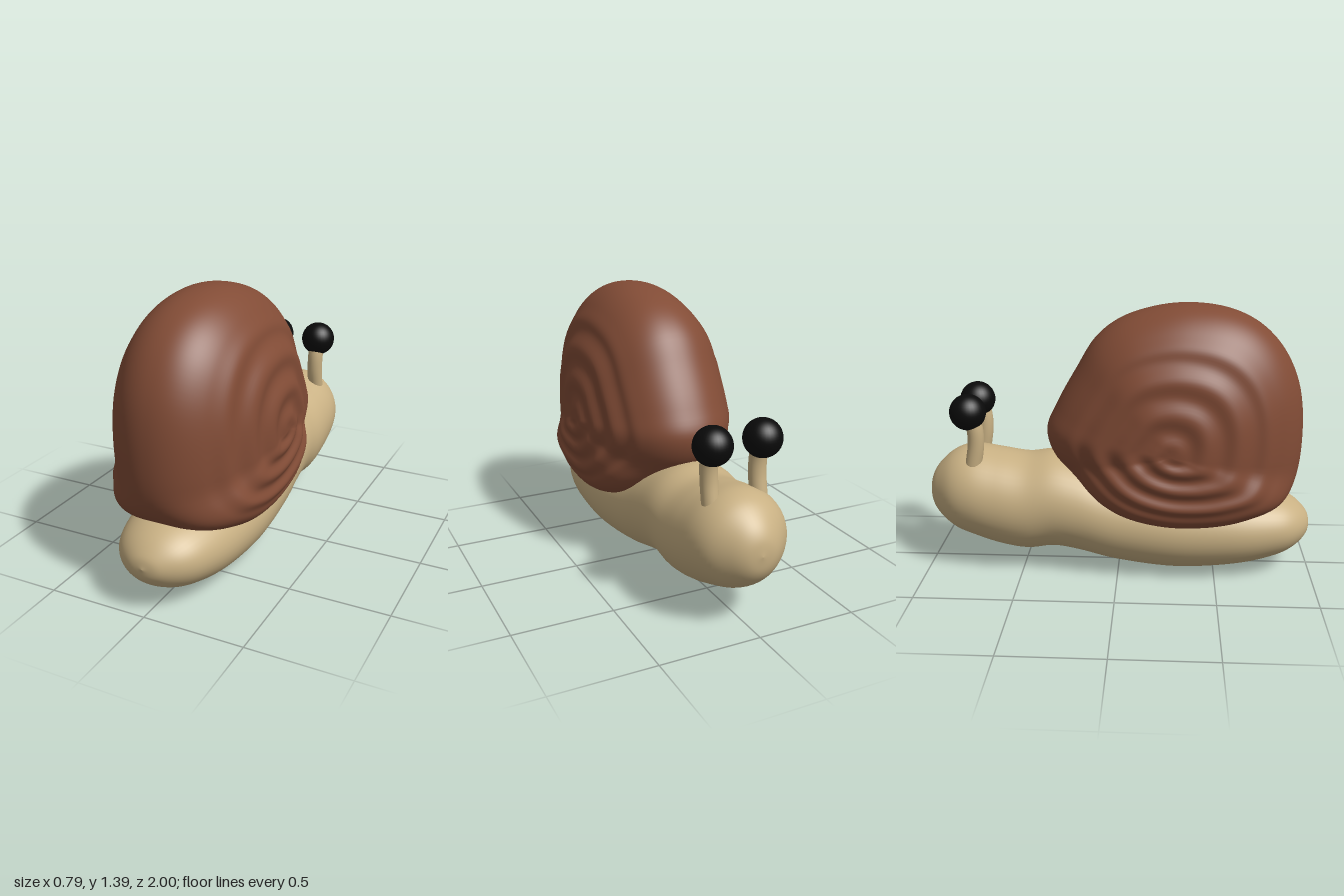
import * as THREE from 'three';

const { smoothstep } = THREE.MathUtils;

// Smooth surface from a rule: rows run along the form, columns wrap around it.
function wrapSurface(rows, cols, rule) {
  const pos = [], idx = [];
  for (let i = 0; i <= rows; i++) {
    for (let j = 0; j < cols; j++) pos.push(...rule(i / rows, j / cols));
  }
  for (let i = 0; i < rows; i++) {
    for (let j = 0; j < cols; j++) {
      const k = (j + 1) % cols;
      const a = i * cols + j, b = i * cols + k, c = a + cols, d = b + cols;
      if (i > 0) idx.push(a, b, c);
      if (i < rows - 1) idx.push(b, d, c);
    }
  }
  const geo = new THREE.BufferGeometry();
  geo.setAttribute('position', new THREE.Float32BufferAttribute(pos, 3));
  geo.setIndex(idx);
  geo.computeVertexNormals();
  return geo;
}

function bodyGeometry() {
  // z, top, bottom, half width; head at -z
  const stations = [
    [-1, 0.4, 0.4, 0], [-0.985, 0.48, 0.315, 0.075], [-0.94, 0.55, 0.25, 0.14],
    [-0.86, 0.615, 0.19, 0.212], [-0.76, 0.64, 0.15, 0.246], [-0.62, 0.62, 0.105, 0.258],
    [-0.48, 0.6, 0.083, 0.262], [-0.34, 0.615, 0.1, 0.264], [-0.2, 0.585, 0.08, 0.27],
    [0, 0.52, 0.035, 0.283], [0.3, 0.48, 0.004, 0.295], [0.6, 0.455, 0.025, 0.28],
    [0.8, 0.42, 0.07, 0.235], [0.91, 0.375, 0.12, 0.175], [0.98, 0.31, 0.185, 0.085],
    [1, 0.25, 0.25, 0],
  ];
  const spline = (f) => new THREE.CatmullRomCurve3(
    stations.map(f), false, 'catmullrom', 0.5);
  const heights = spline(([z, t, b]) => new THREE.Vector3((t + b) / 2, (t - b) / 2, z));
  const widths = spline(([z, , , w]) => new THREE.Vector3(w, 0, z));
  return wrapSurface(90, 48, (u, v) => {
    const h = heights.getPoint(u), w = widths.getPoint(u).x, a = v * Math.PI * 2;
    return [w * Math.cos(a), h.x + h.y * Math.sin(a), h.z];
  });
}

function shellGeometry() {
  const cy = 0.72, cz = 0.27, halfWidth = 0.385;
  // side outline (z, y): from the tail edge, over the top, to the neck and underneath
  const outline = new THREE.CatmullRomCurve3([
    [0.935, 0.75], [0.905, 1.0], [0.82, 1.18], [0.7, 1.3], [0.55, 1.37], [0.35, 1.396],
    [0.17, 1.375], [0, 1.315], [-0.12, 1.22], [-0.22, 1.06], [-0.32, 0.88], [-0.372, 0.75],
    [-0.335, 0.62], [-0.22, 0.51], [-0.1, 0.415], [0.05, 0.345], [0.25, 0.303],
    [0.45, 0.305], [0.65, 0.337], [0.84, 0.405], [0.91, 0.51],
  ].map(([z, y]) => new THREE.Vector3(0, y, z)), true);
  return wrapSurface(120, 120, (u, v) => {
    const edge = outline.getPoint(v);
    const dy = edge.y - cy, dz = edge.z - cz;
    const r = Math.sin(u * Math.PI);
    // rounded across the top, squarer along the underside
    const under = smoothstep(-dy / Math.hypot(dy, dz), 0.2, 0.95);
    const p = 2.15 + 3.6 * under;
    let x = halfWidth * Math.pow(Math.max(0, 1 - Math.pow(r, p)), 1 / p);
    // shallow spiral ridges on each flank
    const fade = smoothstep(r, 0, 0.15) * (1 - smoothstep(r, 0.66, 0.86));
    x += 0.009 * fade * Math.cos(Math.PI * 2 * 4.2 * r - Math.atan2(dy, dz));
    return [u < 0.5 ? x : -x, cy + dy * r, cz + dz * r];
  });
}

export function createModel() {
  const model = new THREE.Group();
  model.name = 'snail';

  const material = (name, color) => {
    const m = new THREE.MeshStandardMaterial({ color });
    m.name = name;
    return m;
  };
  const skin = material('tanSkin', 0xc8b083);
  const brown = material('brownShell', 0x824c36);
  const black = material('blackEye', 0x0a0a0a);

  const add = (name, geo, mat) => {
    const mesh = new THREE.Mesh(geo, mat);
    mesh.name = name;
    model.add(mesh);
    return mesh;
  };

  add('body', bodyGeometry(), skin);
  add('shell', shellGeometry(), brown);

  // Eye stalks and eyes
  for (const [side, s] of [['left', 1], ['right', -1]]) {
    const path = new THREE.CatmullRomCurve3([
      new THREE.Vector3(0.125 * s, 0.57, -0.745),
      new THREE.Vector3(0.125 * s, 0.68, -0.727),
      new THREE.Vector3(0.127 * s, 0.76, -0.727),
      new THREE.Vector3(0.127 * s, 0.84, -0.745),
    ]);
    add(side + 'EyeStalk', new THREE.TubeGeometry(path, 16, 0.042, 20), skin);
    add(side + 'Eye', new THREE.SphereGeometry(0.092, 32, 24), black)
      .position.set(0.127 * s, 0.855, -0.76);
  }
  return model;
}
